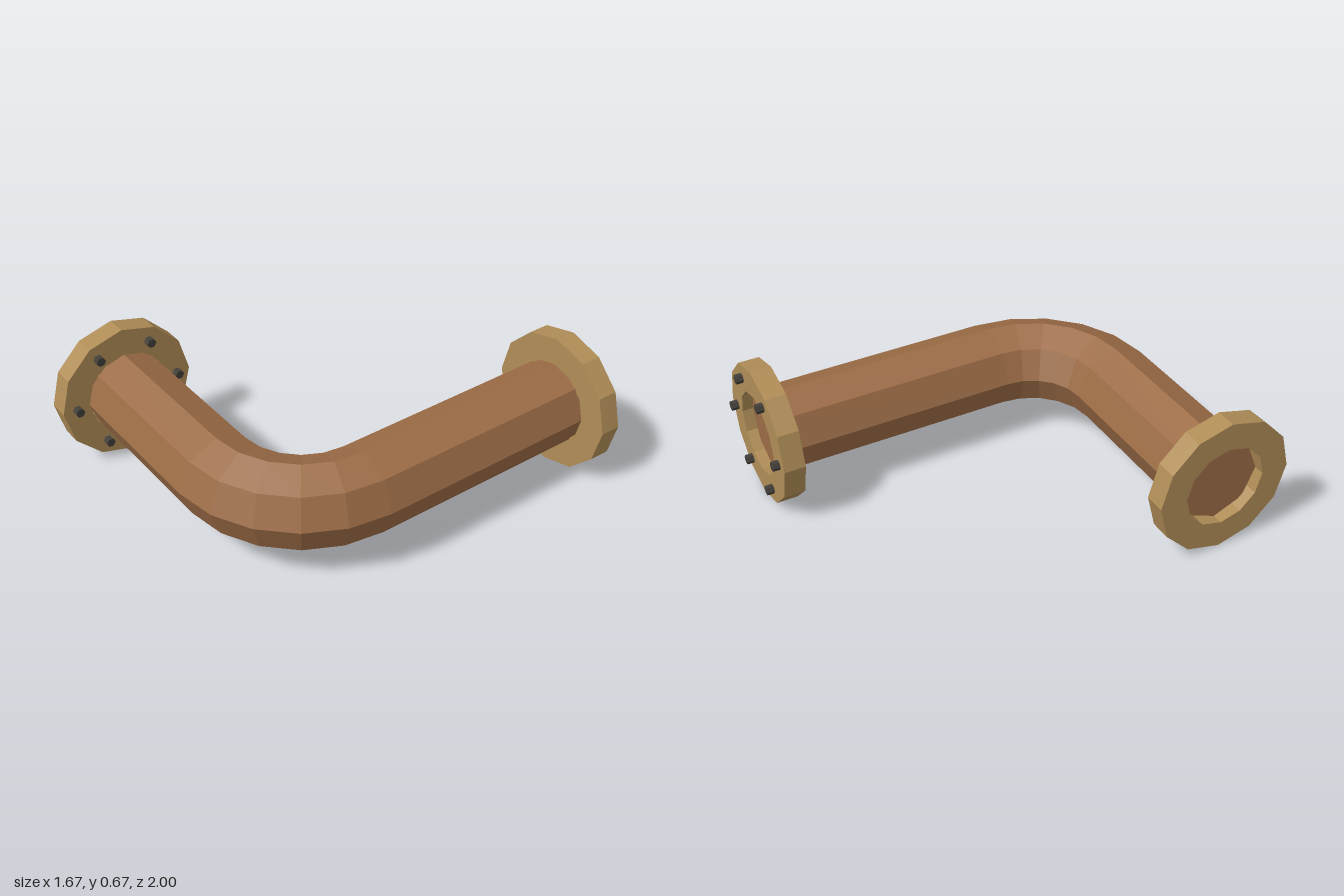
import * as THREE from 'three';

const PIPE_RADIUS = 0.2, FLANGE_RADIUS = 0.333, THICKNESS = 0.1, AXIS_Y = 0.326;

function material(name, color) {
  const m = new THREE.MeshStandardMaterial({ color, flatShading: true });
  m.name = name;
  return m;
}

// Eight-sided pipe: two straight runs joined by a quarter-circle elbow, capped at both ends
function pipeGeometry() {
  const SIDES = 8, STEPS = 5, BEND = 0.44, cx = 0.06, cz = 0.227;
  const stations = [{ x: -0.783, z: cz + BEND, t: 0 }];
  for (let i = 0; i <= STEPS; i++) {
    const t = (i / STEPS) * Math.PI / 2;
    stations.push({ x: cx + BEND * Math.sin(t), z: cz + BEND * Math.cos(t), t });
  }
  stations.push({ x: cx + BEND, z: -0.917, t: Math.PI / 2 });

  const positions = [], index = [];
  for (const { x, z, t } of stations) {
    for (let j = 0; j < SIDES; j++) {
      const a = (j / SIDES) * Math.PI * 2, out = PIPE_RADIUS * Math.cos(a);
      positions.push(x + out * Math.sin(t), PIPE_RADIUS * Math.sin(a), z + out * Math.cos(t));
    }
  }
  const last = (stations.length - 1) * SIDES;
  for (let j = 0; j < SIDES; j++) {
    const k = (j + 1) % SIDES;
    for (let base = 0; base < last; base += SIDES) {
      const a = base + j, b = base + k, c = a + SIDES, d = b + SIDES;
      index.push(a, c, b, b, c, d);
    }
    // End caps as fans
    if (j > 0 && k > 0) index.push(0, j, k, last, last + k, last + j);
  }
  const geometry = new THREE.BufferGeometry();
  geometry.setAttribute('position', new THREE.Float32BufferAttribute(positions, 3));
  geometry.setIndex(index);
  const flat = geometry.toNonIndexed();
  flat.computeVertexNormals();
  return flat;
}

function polygon(radius, sides) {
  return Array.from({ length: sides }, (_, i) => {
    const a = (i / sides) * Math.PI * 2;
    return new THREE.Vector2(radius * Math.cos(a), radius * Math.sin(a));
  });
}

// Twelve-sided ring along local +z, with six bolts on its +z face
function makeFlange(name, brass, steel) {
  const flange = new THREE.Group();
  flange.name = name;

  const shape = new THREE.Shape(polygon(FLANGE_RADIUS, 12));
  shape.holes.push(new THREE.Path(polygon(PIPE_RADIUS, 12).reverse()));
  const ring = new THREE.Mesh(
    new THREE.ExtrudeGeometry(shape, { depth: THICKNESS, bevelEnabled: false }), brass);
  ring.name = 'flangeRing';
  flange.add(ring);

  const boltGeometry = new THREE.CylinderGeometry(0.023, 0.023, 0.053, 6);
  boltGeometry.rotateY(Math.PI / 6).rotateX(Math.PI / 2);
  for (const p of polygon(0.263, 6)) {
    const bolt = new THREE.Mesh(boltGeometry, steel);
    bolt.name = 'bolt';
    bolt.position.set(p.x, p.y, THICKNESS + 0.007);
    flange.add(bolt);
  }
  return flange;
}

export function createModel() {
  const copper = material('copper', 0x9c6c46);
  const brass = material('brass', 0xb08d57);
  const steel = material('darkSteel', 0x433f39);

  const model = new THREE.Group();
  model.name = 'elbowPipe';

  const pipe = new THREE.Mesh(pipeGeometry(), copper);
  pipe.name = 'pipe';
  pipe.position.y = FLANGE_RADIUS;

  // Bolts face the pipe on the side flange and face outward on the back flange
  const sideFlange = makeFlange('sideFlange', brass, steel);
  sideFlange.position.set(-0.833, FLANGE_RADIUS, 0.667);
  sideFlange.rotation.y = Math.PI / 2;

  const backFlange = makeFlange('backFlange', brass, steel);
  backFlange.position.set(0.5, FLANGE_RADIUS, -0.867);
  backFlange.rotation.y = Math.PI;

  model.add(pipe, sideFlange, backFlange);
  return model;
}
